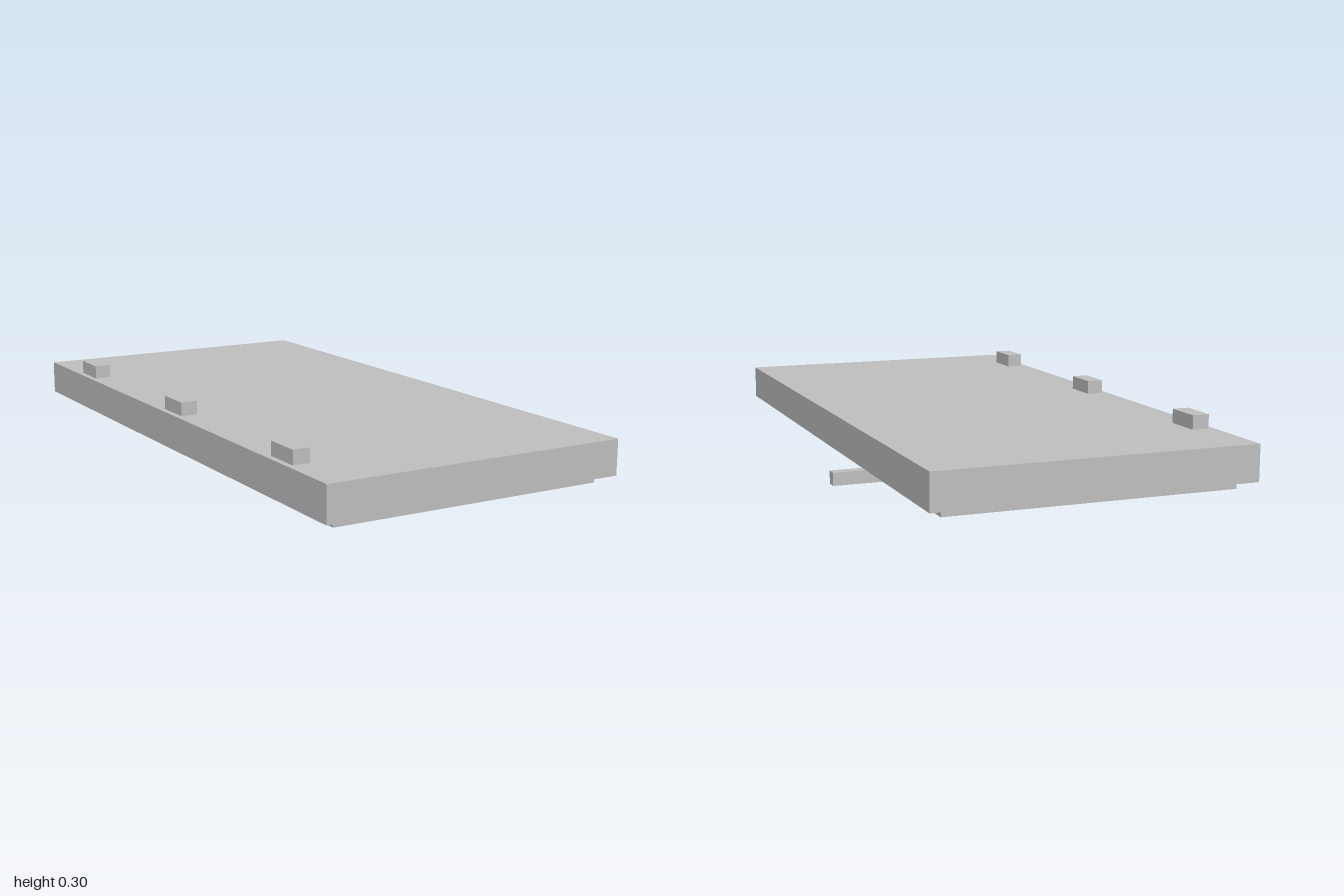
import * as THREE from 'three';

const grey = new THREE.MeshStandardMaterial({ color: 0xc0c0c0 });
grey.name = 'plain grey';
const greyOpen = grey.clone();
greyOpen.name = 'plain grey, two sided';
greyOpen.side = THREE.DoubleSide;

// Box given by its extents along each axis
function block(name, [x0, x1], [y0, y1], [z0, z1]) {
  const mesh = new THREE.Mesh(new THREE.BoxGeometry(x1 - x0, y1 - y0, z1 - z0), grey);
  mesh.position.set((x0 + x1) / 2, (y0 + y1) / 2, (z0 + z1) / 2);
  mesh.name = name;
  return mesh;
}

export function createModel() {
  const door = new THREE.Group();
  door.name = 'door';

  // Door slab lying flat, its decorated face down
  door.add(block('slab', [-0.5, 0.5], [0.144, 0.256], [-1, 1]));

  // Stepped panels on the underside
  door.add(block('outerPanel', [-0.453, 0.453], [0.119, 0.144], [-0.957, 0.957]));
  door.add(block('middlePanel', [-0.405, 0.405], [0.111, 0.119], [-0.875, 0.872]));
  door.add(block('innerPanel', [-0.377, 0.377], [0.101, 0.111], [-0.83, 0.805]));

  // Handle plate and lever
  door.add(block('handlePlate', [0.225, 0.337], [0.059, 0.101], [-0.072, 0.095]));
  door.add(block('handleLever', [0.264, 0.479], [0, 0.044], [-0.007, 0.033]));

  // Thin open viewer ring
  const ring = new THREE.Mesh(new THREE.CylinderGeometry(0.025, 0.025, 0.01, 16, 1, true), greyOpen);
  ring.rotation.x = Math.PI / 2;
  ring.position.set(0, 0.077, 0.547);
  ring.name = 'viewerRing';
  door.add(ring);

  // Three hinges along one long edge
  for (const z of [-0.685, 0.025, 0.73]) {
    door.add(block('hinge', [-0.481, -0.427], [0.256, 0.3], [z - 0.061, z + 0.061]));
  }
  return door;
}
